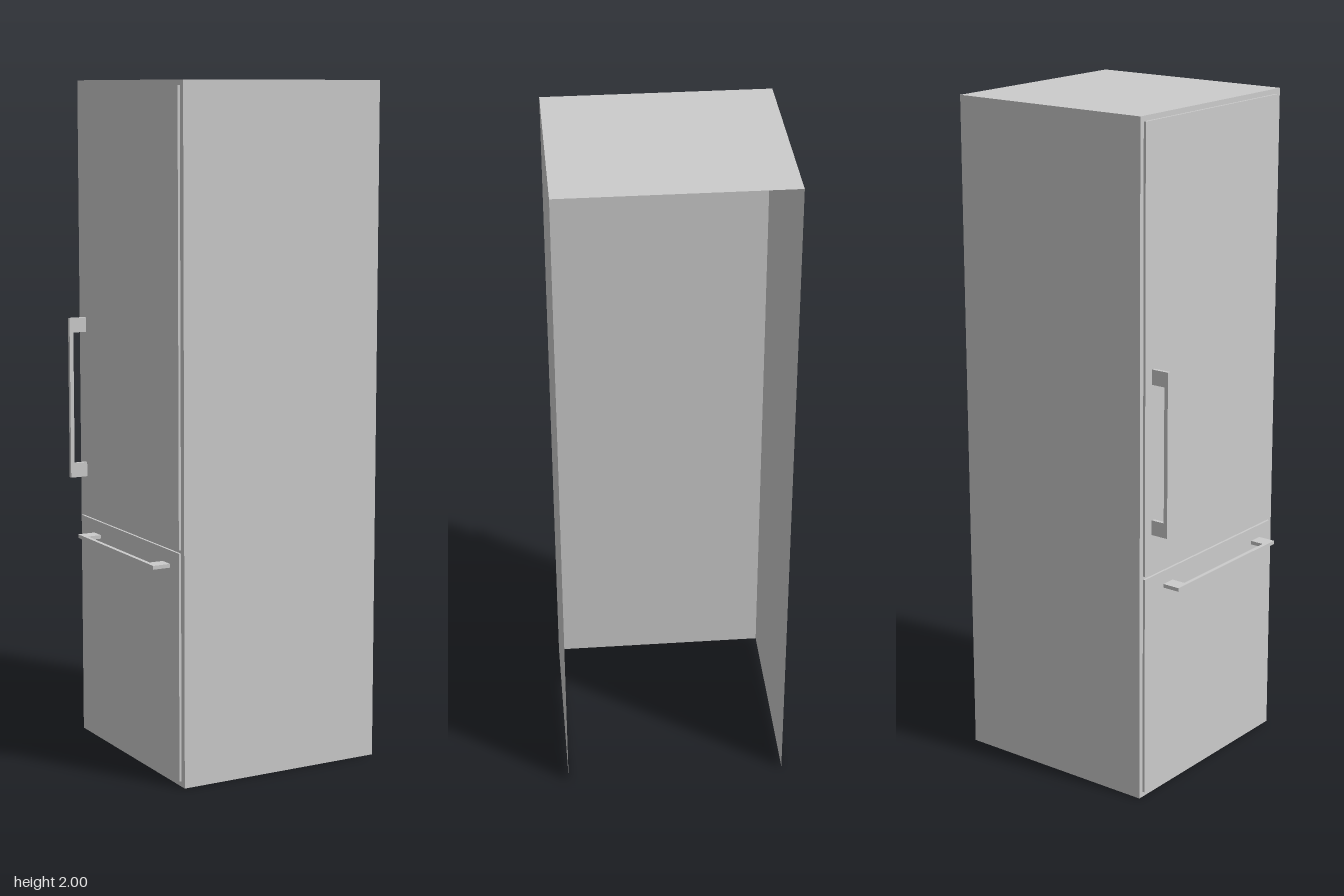
import * as THREE from 'three';

const material = new THREE.MeshStandardMaterial({ color: 0xcccccc });
const sheetMaterial = new THREE.MeshStandardMaterial({ color: 0xcccccc, side: THREE.DoubleSide });

// Cabinet shell extents; the doors face -x
const X0 = -0.289, X1 = 0.35, HALF_Z = 0.332, HEIGHT = 2;
const DOOR_FACE = -0.296, HANDLE_FACE = -0.35;

function sheet(name, width, height, position, rotation) {
  const mesh = new THREE.Mesh(new THREE.PlaneGeometry(width, height), sheetMaterial);
  mesh.name = name;
  mesh.position.set(...position);
  mesh.rotation.set(...rotation);
  return mesh;
}

function door(name, y0, y1) {
  const mesh = new THREE.Mesh(new THREE.BoxGeometry(X0 - DOOR_FACE, y1 - y0, 0.63), material);
  mesh.name = name;
  mesh.position.set((X0 + DOOR_FACE) / 2, (y0 + y1) / 2, -0.002);
  return mesh;
}

// Flat U-shaped pull: two wide feet joined by a slim bar, running along y
function handle(name, length) {
  const h = length / 2, foot = 0.044, bar = HANDLE_FACE + 0.012;
  const outline = [
    [DOOR_FACE, -h], [DOOR_FACE, -h + foot], [bar, -h + foot], [bar, h - foot],
    [DOOR_FACE, h - foot], [DOOR_FACE, h], [HANDLE_FACE, h], [HANDLE_FACE, -h],
  ];
  const shape = new THREE.Shape(outline.map(([x, y]) => new THREE.Vector2(x, y)));
  const thickness = 0.011;
  const geometry = new THREE.ExtrudeGeometry(shape, { depth: thickness, bevelEnabled: false });
  geometry.translate(0, 0, -thickness / 2);
  const mesh = new THREE.Mesh(geometry, material);
  mesh.name = name;
  return mesh;
}

export function createModel() {
  const model = new THREE.Group();
  model.name = 'refrigerator';

  // Thin cabinet shell, open at the +x side and underneath
  const cabinet = new THREE.Group();
  cabinet.name = 'cabinet';
  const depth = X1 - X0, midX = (X0 + X1) / 2, midY = HEIGHT / 2;
  cabinet.add(
    sheet('sidePanelA', depth, HEIGHT, [midX, midY, HALF_Z], [0, 0, 0]),
    sheet('sidePanelB', depth, HEIGHT, [midX, midY, -HALF_Z], [0, Math.PI, 0]),
    sheet('doorFrame', HALF_Z * 2, HEIGHT, [X0, midY, 0], [0, -Math.PI / 2, 0]),
    sheet('topPanel', depth, HALF_Z * 2, [midX, HEIGHT, 0], [-Math.PI / 2, 0, 0]),
  );
  model.add(cabinet);

  // Tall upper door and lower freezer drawer with a narrow gap between
  model.add(door('upperDoor', 0.692, 1.985), door('freezerDrawer', 0.016, 0.683));

  // Upright door pull and horizontal drawer pull
  const doorHandle = handle('doorHandle', 0.486);
  doorHandle.position.set(0, 1.053, -0.28);
  const drawerHandle = handle('drawerHandle', 0.489);
  drawerHandle.rotation.x = Math.PI / 2;
  drawerHandle.position.set(0, 0.638, 0.0155);
  model.add(doorHandle, drawerHandle);

  return model;
}
